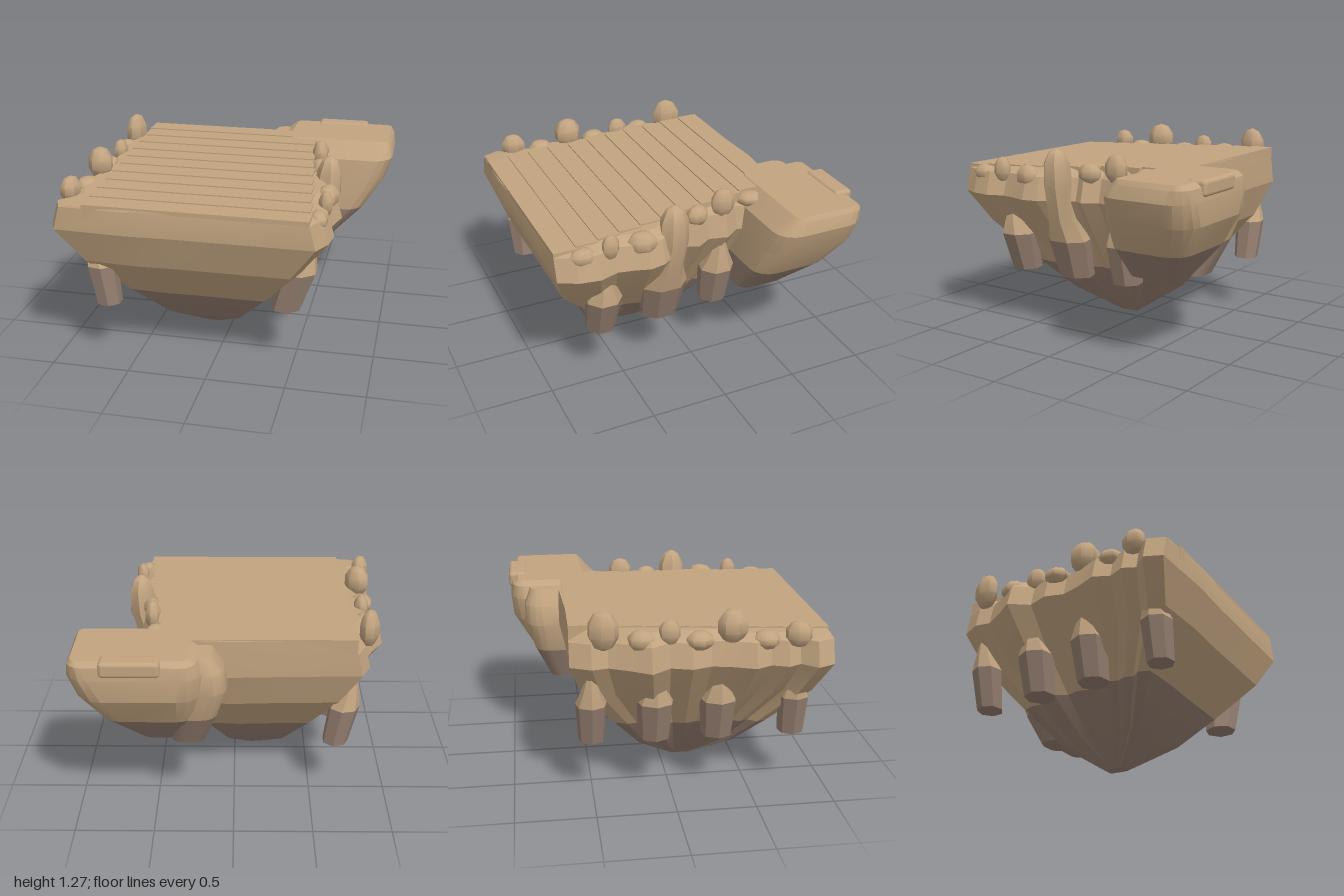
import * as THREE from 'three';
import { toCreasedNormals } from 'three/addons/utils/BufferGeometryUtils.js';
import { RoundedBoxGeometry } from 'three/addons/geometries/RoundedBoxGeometry.js';

const sand = new THREE.MeshStandardMaterial({ color: 0xc2a480 });
sand.name = 'sandstone';
const rock = new THREE.MeshStandardMaterial({ color: 0x967f70 });
rock.name = 'darkRock';

// Skin a stack of rings (bottom to top, each counterclockwise from above)
function loft(rings, capBottom, capTop, crease = 0.3) {
  const n = rings[0].length, pos = [], idx = [];
  rings.forEach(r => r.forEach(p => pos.push(...p)));
  for (let i = 0; i < rings.length - 1; i++) {
    for (let j = 0; j < n; j++) {
      const k = (j + 1) % n, a = i * n + j, b = i * n + k;
      idx.push(a, b, b + n, a, b + n, a + n);
    }
  }
  const cap = (ring, base, up) => {
    const c = pos.length / 3;
    pos.push(...[0, 1, 2].map(q => ring.reduce((s, p) => s + p[q], 0) / n));
    for (let j = 0; j < n; j++) {
      const a = base + j, b = base + (j + 1) % n;
      idx.push(c, up ? a : b, up ? b : a);
    }
  };
  if (capBottom) cap(rings[0], 0, false);
  if (capTop) cap(rings[rings.length - 1], (rings.length - 1) * n, true);
  const g = new THREE.BufferGeometry();
  g.setAttribute('position', new THREE.Float32BufferAttribute(pos, 3));
  g.setIndex(idx);
  return toCreasedNormals(g, crease);
}

// Rock-coloured rings up to index split, sandstone above it
function twoTone(name, rings, split, crease) {
  const g = new THREE.Group();
  g.name = name;
  const low = new THREE.Mesh(loft(rings.slice(0, split + 1), true, false, crease), rock);
  low.name = name + 'Base';
  const high = new THREE.Mesh(loft(rings.slice(split), false, true, crease), sand);
  high.name = name + 'Upper';
  g.add(low, high);
  return g;
}

function roundRectRing(y, x0, x1, z0, z1, r) {
  const out = [];
  const corners = [[x1 - r, z0 + r], [x0 + r, z0 + r], [x0 + r, z1 - r], [x1 - r, z1 - r]];
  corners.forEach(([cx, cz], q) => {
    for (let i = 0; i <= 4; i++) {
      const t = (q + i / 4) * Math.PI / 2;
      out.push([cx + r * Math.cos(t), y, cz - r * Math.sin(t)]);
    }
  });
  return out;
}

function polyRing(x, y, z, rx, rz, sides = 7) {
  return Array.from({ length: sides }, (_, i) => {
    const t = (i + 0.5) / sides * Math.PI * 2;
    return [x + rx * Math.cos(t), y, z - rz * Math.sin(t)];
  });
}

const deckY = z => 1.08 + 0.08 * (0.97 - z) / 1.6;

export function createModel() {
  const model = new THREE.Group();
  model.name = 'floatingRockPlatform';

  // Island body: wavy outline (z, x) shrunk towards the tip
  const outline = [
    [.97, .66], [.85, .72], [.72, .74], [.6, .7], [.5, .72], [.4, .75], [.3, .73], [.2, .66],
    [.08, .6], [.02, .63], [-.08, .57], [-.2, .6], [-.3, .53], [-.42, .56], [-.55, .48], [-.63, .44],
    [-.655, .05], [-.635, -.4], [-.63, -.8], [-.5, -.86], [-.4, -.84], [-.28, -.9], [-.15, -.98],
    [-.03, -.89], [.1, -.93], [.22, -.89], [.35, -.92], [.48, -.97], [.58, -.92], [.68, -.96],
    [.76, -.92], [.85, -1], [.96, -.95], [.98, -.5], [.97, -.2], [.97, .3],
  ];
  const cx = -0.13, cz = 0.14;
  const levels = [ // y, x factor, z factor
    [0, .05, .08], [.17, .3, .39], [.4, .545, .62], [.68, .8, .9],
    [.91, 1, 1], [1.06, .95, 1], [null, .86, .995],
  ];
  const rings = levels.map(([y, fx, fz]) => outline.map(([z, x]) => {
    const pz = cz + (z - cz) * fz;
    return [cx + (x - cx) * fx, y === null ? deckY(pz) - 0.006 : y, pz];
  }));
  model.add(twoTone('islandBody', rings, 2));

  // Stepped deck planks, rising to the back
  const deck = new THREE.Group();
  deck.name = 'steppedDeck';
  const count = 11, depth = 1.6 / count;
  for (let i = 0; i < count; i++) {
    const z = 0.97 - (i + 0.5) * depth;
    const x1 = 0.62 - 0.17 * i / (count - 1), x0 = -0.76;
    const h = 0.1;
    const plank = new THREE.Mesh(new THREE.BoxGeometry(x1 - x0, h, depth), sand);
    plank.name = 'deckPlank';
    plank.position.set((x0 + x1) / 2, deckY(z - depth / 2) - h / 2, z);
    deck.add(plank);
  }
  model.add(deck);

  // Rock pillars hanging on the flanks: z, foot x, shoulder x, radius
  const pillars = [
    [.63, .44, .52, .12], [-.19, .41, .46, .12],
    [-.5, -.66, -.71, .1], [-.1, -.66, -.71, .12], [.3, -.66, -.71, .12], [.78, -.68, -.72, .1],
  ];
  for (const [z, x0, x1, r] of pillars) {
    const top = x1 + Math.sign(x1) * 0.05;
    model.add(twoTone('pillar', [
      polyRing(x0, .37, z, r * .85, r * .85), polyRing(x1, .63, z, r, r),
      polyRing(x1 + (top - x1) * .5, .72, z, r * .7, r * .65), polyRing(top, .85, z, r * .25, r * .25),
    ], 1, 0.5));
  }

  // Tall pillar reaching over the rim
  model.add(twoTone('tallPillar', [
    polyRing(.43, .37, .21, .11, .13), polyRing(.51, .63, .21, .12, .155),
    polyRing(.57, .78, .21, .1, .1), polyRing(.63, 1.0, .2, .09, .1),
    polyRing(.64, 1.15, .2, .08, .09), polyRing(.64, 1.22, .2, .05, .055),
    polyRing(.64, 1.245, .2, .015, .015),
  ], 1, 0.7));

  // Boulders along the rim: x, y, z, then half sizes
  const boulders = [
    [-.85, 1.15, -.43, .065, .125, .1], [-.84, 1.12, -.03, .05, .08, .07],
    [-.85, 1.15, .35, .085, .11, .1], [-.91, 1.1, .74, .06, .085, .085],
    [-.85, 1.08, -.2, .08, .07, .09], [-.86, 1.07, .15, .08, .06, .09], [-.87, 1.06, .55, .08, .06, .09],
    [.53, 1.13, -.19, .055, .1, .085], [.67, 1.08, .63, .045, .085, .06],
    [.66, 1.05, .42, .07, .08, .1], [.65, 1.04, .8, .06, .06, .09],
    [.55, 1.09, 0, .06, .07, .08], [.5, 1.1, -.4, .07, .05, .09],
  ];
  const boulderGeo = toCreasedNormals(new THREE.SphereGeometry(1, 7, 5), 0.8);
  boulders.forEach(([x, y, z, sx, sy, sz], i) => {
    const b = new THREE.Mesh(boulderGeo, sand);
    b.name = 'rimBoulder';
    b.position.set(x, y, z);
    b.scale.set(sx, sy, sz);
    b.rotation.y = (i % 3 - 1) * 0.25;
    model.add(b);
  });

  // Side outcrop at the back left corner
  model.add(twoTone('sideOutcrop', [
    roundRectRing(.48, .28, .6, -.66, -.31, .08),
    roundRectRing(.7, .22, .82, -.84, -.31, .13),
    roundRectRing(.9, .18, .95, -.955, -.33, .16),
    roundRectRing(1.05, .18, 1, -.97, -.36, .14),
    roundRectRing(1.13, .22, .985, -.955, -.44, .09),
    roundRectRing(1.16, .27, .965, -.92, -.475, .04),
  ], 1, 0.4));

  // Smaller lobe beside the outcrop
  model.add(twoTone('outcropLobe', [
    roundRectRing(.48, .18, .4, -.72, -.42, .08),
    roundRectRing(.7, .1, .38, -.82, -.45, .1),
    roundRectRing(.9, .04, .36, -.88, -.5, .12),
    roundRectRing(1.03, .06, .34, -.88, -.52, .11),
    roundRectRing(1.13, .13, .3, -.84, -.55, .07),
  ], 1, 0.5));

  // Raised tab on the outcrop's back edge
  const tab = new THREE.Mesh(new RoundedBoxGeometry(.36, .1, .125, 3, .025), sand);
  tab.name = 'edgeTab';
  tab.position.set(.61, 1.122, -.92);
  model.add(tab);

  return model;
}
